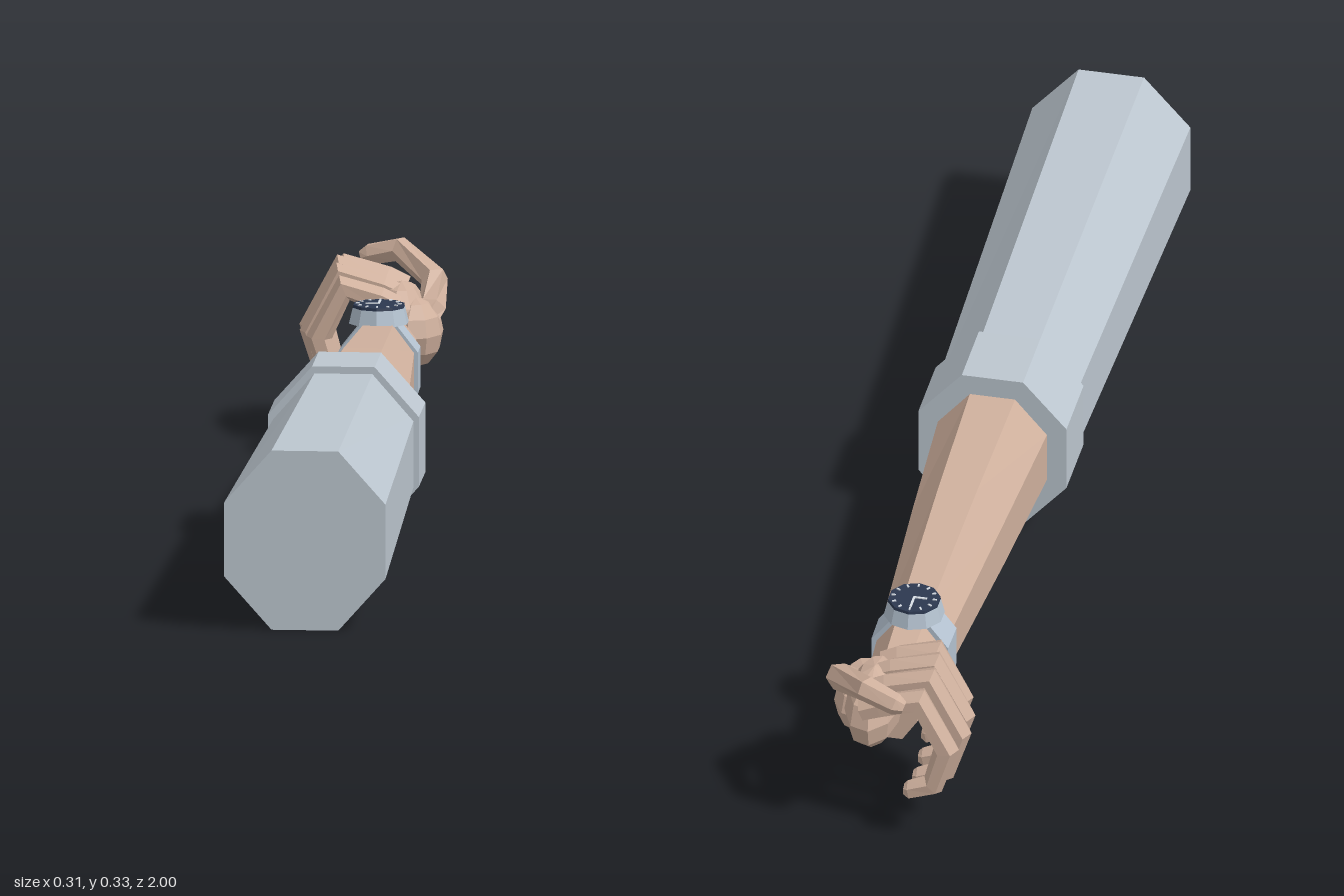
import * as THREE from 'three';

const mat = (name, color) => {
  const m = new THREE.MeshStandardMaterial({ color });
  m.name = name;
  return m;
};
const V = (x, y, z) => new THREE.Vector3(x, y, z);

// Closed faceted limb: one ring per row [x, y, z, ru, rv]; ref sets the u direction
function limb(rows, sides, ref) {
  const c = rows.map(r => V(r[0], r[1], r[2]));
  const rings = rows.map((r, i) => {
    const t = V(0, 0, 0);
    if (i > 0) t.add(c[i].clone().sub(c[i - 1]).normalize());
    if (i < c.length - 1) t.add(c[i + 1].clone().sub(c[i]).normalize());
    t.normalize();
    const u = ref.clone().addScaledVector(t, -ref.dot(t)).normalize();
    const v = t.clone().cross(u);
    return Array.from({ length: sides }, (_, j) => {
      const a = (j + 0.5) / sides * Math.PI * 2;
      return c[i].clone().addScaledVector(u, Math.cos(a) * r[3]).addScaledVector(v, Math.sin(a) * r[4]);
    });
  });
  const pts = [];
  const last = rings.length - 1;
  for (let j = 0; j < sides; j++) {
    const k = (j + 1) % sides;
    for (let i = 0; i < last; i++) {
      const a = rings[i], b = rings[i + 1];
      pts.push(a[j], a[k], b[k], a[j], b[k], b[j]);
    }
    pts.push(c[0], rings[0][k], rings[0][j], c[last], rings[last][j], rings[last][k]);
  }
  const g = new THREE.BufferGeometry().setFromPoints(pts);
  g.computeVertexNormals();
  return g;
}

// Octagonal section along the arm, given by its half width and half height
const K = Math.cos(Math.PI / 8);
const section = (z, y, w, h) => [0.008, y, z, w / K, h / K];

export function createModel() {
  const root = new THREE.Group();
  const skin = mat('skin', 0xcfb09d);
  const cloth = mat('sleeve cloth', 0xbcc6cf);
  const metal = mat('watch metal', 0xb4c2d0);
  const navy = mat('watch dial', 0x2c3850);
  const pale = mat('watch marks', 0xd8dee6);

  const add = (name, geo, material, parent = root) => {
    const m = new THREE.Mesh(geo, material);
    m.name = name;
    parent.add(m);
    return m;
  };
  const X = V(1, 0, 0), Y = V(0, 1, 0), Z = V(0, 0, 1);

  // Sleeve, cuff and forearm
  add('sleeve', limb([section(1, 0.16, 0.142, 0.16), section(0.1, 0.161, 0.122, 0.14)], 8, X), cloth);
  add('cuff', limb([section(0.17, 0.165, 0.133, 0.15), section(0.03, 0.165, 0.133, 0.15)], 8, X), cloth);
  add('forearm', limb([
    section(0.08, 0.163, 0.1, 0.114), section(0.03, 0.163, 0.098, 0.114),
    section(-0.25, 0.164, 0.083, 0.105), section(-0.6, 0.165, 0.062, 0.083),
    section(-0.74, 0.165, 0.054, 0.073), section(-0.79, 0.165, 0.045, 0.068),
  ], 8, X), skin);

  // Wristwatch
  const watch = new THREE.Group();
  watch.name = 'watch';
  root.add(watch);
  add('strap', limb([section(-0.58, 0.164, 0.07, 0.089), section(-0.645, 0.164, 0.069, 0.088)], 8, X), metal, watch);
  const face = new THREE.Group();
  face.name = 'watchHead';
  face.position.set(0.006, 0, -0.617);
  watch.add(face);
  const disc = (r1, r2, h) => new THREE.CylinderGeometry(r1, r2, h, 10).toNonIndexed();
  const flat = g => { g.computeVertexNormals(); return g; };
  add('case', flat(disc(0.047, 0.054, 0.028)), metal, face).position.y = 0.261;
  add('dial', flat(disc(0.046, 0.047, 0.005)), navy, face).position.y = 0.2775;
  for (let i = 0; i < 12; i++) {
    const a = i * Math.PI / 6;
    const tick = add('hourMark', new THREE.BoxGeometry(0.003, 0.002, 0.007), pale, face);
    tick.position.set(Math.sin(a) * 0.037, 0.281, Math.cos(a) * 0.037);
    tick.rotation.y = a;
  }
  add('minuteHand', new THREE.BoxGeometry(0.004, 0.002, 0.032), pale, face).position.set(0, 0.281, -0.015);
  add('hourHand', new THREE.BoxGeometry(0.024, 0.002, 0.004), pale, face).position.set(-0.011, 0.281, 0);

  // Palm and thumb base
  const hand = new THREE.Group();
  hand.name = 'hand';
  root.add(hand);
  const ball = (name, p, s) => {
    const g = new THREE.SphereGeometry(1, 9, 6).scale(...s).translate(...p).toNonIndexed();
    add(name, flat(g), skin, hand);
  };
  ball('palm', [0.028, 0.205, -0.84], [0.05, 0.075, 0.098]);
  ball('thumbBase', [0.055, 0.195, -0.81], [0.05, 0.062, 0.075]);

  // Four curled fingers, little finger first
  [[-0.772, 0.86], [-0.827, 0.98], [-0.882, 1.02], [-0.938, 0.94]].forEach(([z, s], i) => {
    const path = [[0.03, 0.255, 0.02], [-0.005, 0.27, 0.022], [-0.078, 0.293, 0.024], [-0.13, 0.19, 0.023],
      [-0.105, 0.108, 0.021], [-0.06, 0.09, 0.018], [-0.05, 0.09, 0.011]];
    const rows = path.map(([x, y, r]) => [x * s, 0.19 + (y - 0.19) * s, z, r * 1.1, r]);
    add('finger' + (i + 1), limb(rows, 6, Z), skin, hand);
  });

  // Thumb arching forward and across
  add('thumb', limb([
    [0.065, 0.2, -0.785, 0.02, 0.022], [0.083, 0.235, -0.825, 0.026, 0.025],
    [0.083, 0.276, -0.88, 0.025, 0.024], [0.015, 0.313, -0.962, 0.023, 0.022],
    [-0.04, 0.3, -0.979, 0.02, 0.019], [-0.055, 0.295, -0.979, 0.012, 0.011],
  ], 6, Y), skin, hand);

  return root;
}
